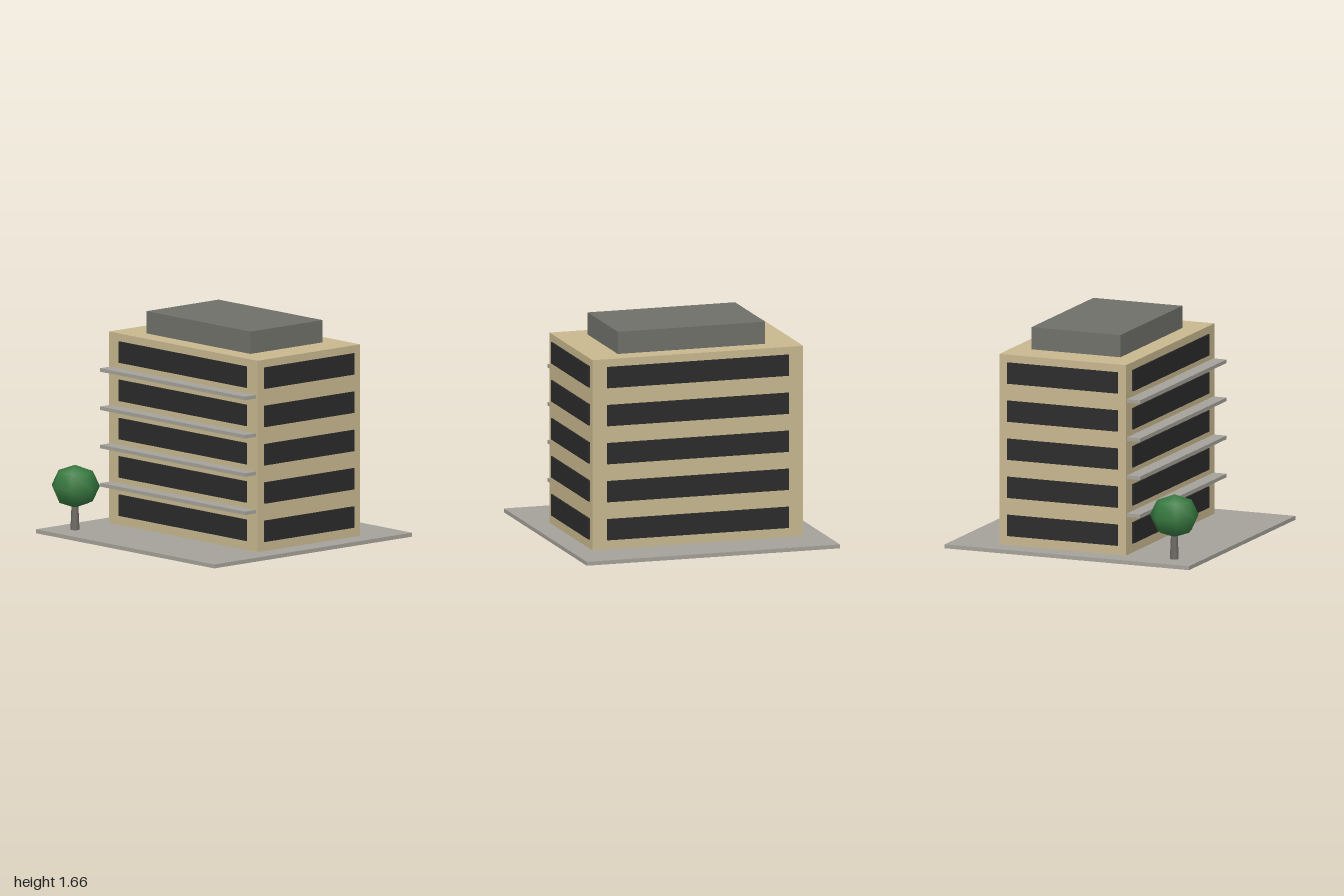
import * as THREE from 'three';

export function createModel() {
  const model = new THREE.Group();
  model.name = 'officeBlock';

  const mat = (name, color) => {
    const m = new THREE.MeshStandardMaterial({ color });
    m.name = name;
    return m;
  };
  const paving = mat('concrete', 0xa5a29a);
  const wall = mat('sandWall', 0xc8b88f);
  const roofGrey = mat('roofGrey', 0x70706a);
  const glass = mat('darkGlass', 0x2b2b2c);
  const leaf = mat('leafGreen', 0x37783f);
  const bark = mat('bark', 0x6e6a64);

  const add = (name, geometry, material, x, y, z, parent = model) => {
    const mesh = new THREE.Mesh(geometry, material);
    mesh.name = name;
    mesh.position.set(x, y, z);
    parent.add(mesh);
    return mesh;
  };
  const box = (w, h, d) => new THREE.BoxGeometry(w, h, d);

  // Ground slab, main block and rooftop plant room
  const base = 0.03, width = 1.664, depth = 1.036, height = 1.46, cz = -0.107;
  add('groundSlab', box(2, base, 2), paving, 0, base / 2, 0);
  add('mainBlock', box(width, height, depth), wall, 0, base + height / 2, cz);
  add('plantRoom', box(1.164, 0.17, 0.728), roofGrey, 0, base + height + 0.085, cz);

  // Window bands on all four sides, with a ledge on the front between storeys
  const storeys = 5, step = height / storeys, t = 0.012;
  const longBand = box(1.432, 0.162, t);
  const shortBand = box(t, 0.162, 0.904);
  const ledge = box(1.624, 0.027, 0.108);
  for (let i = 0; i < storeys; i++) {
    const floor = new THREE.Group();
    floor.name = `storey${i + 1}`;
    model.add(floor);
    const y = base + step * i + 0.152;
    for (const s of [1, -1]) {
      add(s > 0 ? 'frontWindowBand' : 'backWindowBand', longBand, glass,
        0, y, cz + s * (depth + t) / 2, floor);
      add(s > 0 ? 'leftWindowBand' : 'rightWindowBand', shortBand, glass,
        s * (width + t) / 2, y, cz, floor);
    }
    if (i > 0) add('frontLedge', ledge, paving, 0, base + step * i + 0.014, cz + depth / 2 + 0.054, floor);
  }

  // Tree: tapered trunk and a slightly squashed crown
  const tree = new THREE.Group();
  tree.name = 'tree';
  tree.position.set(-0.793, base, 0.791);
  model.add(tree);
  add('trunk', new THREE.CylinderGeometry(0.026, 0.035, 0.2, 7), bark, 0, 0.1, 0, tree);
  const crown = add('crown', new THREE.SphereGeometry(0.188, 7, 4), leaf, 0, 0.331, 0, tree);
  crown.scale.y = 0.87;
  crown.rotation.y = 0;
  // Turn the seven-sided crown so that one corner points to +x
  crown.rotation.y = Math.PI;

  return model;
}
